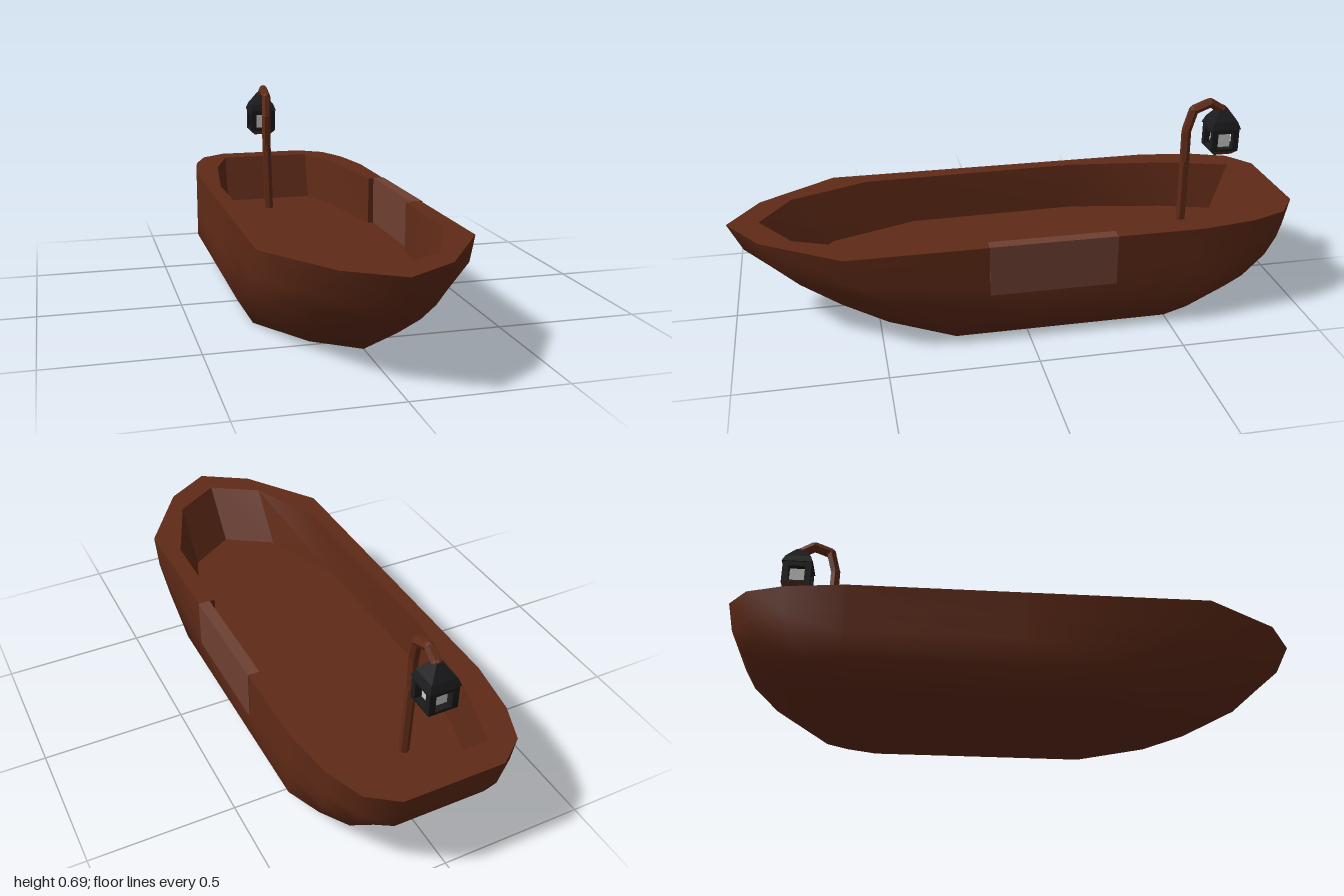
import * as THREE from 'three';
import { toCreasedNormals } from 'three/addons/utils/BufferGeometryUtils.js';

const mat = (color, side = THREE.FrontSide) => new THREE.MeshStandardMaterial({ color, side });
const wood = mat(0x5f2a17), paleWood = mat(0x6e4031), iron = mat(0x1b1a1c), glow = mat(0xcccccc);

function add(parent, name, geometry, material, x = 0, y = 0, z = 0) {
  const mesh = new THREE.Mesh(geometry, material);
  mesh.name = name;
  mesh.position.set(x, y, z);
  parent.add(mesh);
  return mesh;
}

// Closed outline [x, z] from a half outline running bow to stern
function outline(half, right = half) {
  const left = half.slice(1).reverse().map(([x, z]) => [-x, z]);
  return [...right, ...left];
}

// Skin between equal-count rings of { y, pts }
function loft(rings) {
  const n = rings[0].pts.length, pos = [], idx = [];
  for (const { y, pts } of rings) for (const [x, z] of pts) pos.push(x, y, z);
  for (let r = 0; r < rings.length - 1; r++) {
    for (let i = 0; i < n; i++) {
      const a = r * n + i, b = r * n + (i + 1) % n;
      idx.push(a, a + n, b + n, a, b + n, b);
    }
  }
  const g = new THREE.BufferGeometry();
  g.setAttribute('position', new THREE.Float32BufferAttribute(pos, 3));
  g.setIndex(idx);
  g.computeVertexNormals();
  return g;
}

// Horizontal face, optionally with a hole
function flat(pts, hole) {
  const toV = p => p.map(([x, z]) => new THREE.Vector2(x, -z));
  const shape = new THREE.Shape(toV(pts));
  if (hole) shape.holes.push(new THREE.Path(toV(hole)));
  return new THREE.ShapeGeometry(shape).rotateX(-Math.PI / 2);
}

// Square frustum of half-widths r0 (bottom) and r1 (top)
function frustum(r0, r1, y0, y1) {
  const g = new THREE.CylinderGeometry(r1 * Math.SQRT2, r0 * Math.SQRT2, y1 - y0, 4);
  return toCreasedNormals(g.rotateY(Math.PI / 4).translate(0, (y0 + y1) / 2, 0), 0.3);
}

export function createModel() {
  const model = new THREE.Group();
  model.name = 'rowingBoat';
  const rimY = 0.36, floorY = 0.18;

  // Hull: half outlines from the rim down to the flat bottom
  const levels = [
    [rimY, [[0, 1], [0.17, 0.89], [0.35, 0.62], [0.35, 0], [0.35, -0.6], [0.32, -0.8], [0.27, -0.93], [0.175, -1]]],
    [0.26, [[0, 0.95], [0.17, 0.84], [0.35, 0.58], [0.35, 0], [0.35, -0.6], [0.32, -0.79], [0.265, -0.915], [0.17, -0.98]]],
    [0.19, [[0, 0.87], [0.17, 0.76], [0.35, 0.48], [0.35, 0], [0.35, -0.6], [0.315, -0.77], [0.26, -0.88], [0.16, -0.94]]],
    [0.1, [[0, 0.77], [0.17, 0.63], [0.35, 0.3], [0.35, 0], [0.35, -0.6], [0.3, -0.72], [0.24, -0.81], [0.15, -0.85]]],
    [0, [[0, 0.58], [0.15, 0.47], [0.29, 0.25], [0.29, 0], [0.29, -0.5], [0.25, -0.6], [0.2, -0.67], [0.12, -0.7]]],
  ];
  const rings = levels.map(([y, half]) => ({ y, pts: outline(half) }));
  rings.push({ y: 0, pts: rings[0].pts.map(() => [0, -0.05]) });
  add(model, 'hull', loft(rings), wood);

  // Inside walls, with a recess on the left side for the gate
  const recess = [[0.29, 0.14], [0.312, 0.14], [0.312, -0.3], [0.29, -0.3]];
  const inner = half => outline(half, [...half.slice(0, 3), ...recess, ...half.slice(4)]);
  const innerTop = inner([[0, 0.89], [0.17, 0.78], [0.285, 0.5], [0.3, -0.3], [0.25, -0.68], [0.18, -0.9]]);
  const innerFloor = inner([[0, 0.75], [0.17, 0.64], [0.285, 0.33], [0.3, -0.3], [0.235, -0.66], [0.18, -0.84]]);
  const walls = loft([{ y: floorY, pts: innerFloor }, { y: rimY, pts: innerTop }]);
  add(model, 'innerWalls', toCreasedNormals(walls, 0.6), wood);
  add(model, 'rim', flat(rings[0].pts, innerTop), wood, 0, rimY);
  add(model, 'floor', flat(innerFloor), wood, 0, floorY);
  add(model, 'sideGate', new THREE.BoxGeometry(0.042, 0.18, 0.44), paleWood, 0.331, 0.272, -0.08);

  // Bent lamp post: square sections swept along straight pieces
  const path = new THREE.CurvePath();
  const knots = [[-0.036, 0.18, -0.665], [-0.043, 0.45, -0.668], [-0.043, 0.57, -0.667], [-0.038, 0.65, -0.688],
    [-0.038, 0.674, -0.75], [-0.038, 0.645, -0.797]].map(p => new THREE.Vector3(...p));
  for (let i = 1; i < knots.length; i++) path.add(new THREE.LineCurve3(knots[i - 1], knots[i]));
  const post = new THREE.Group();
  post.name = 'lampPost';
  model.add(post);
  path.curves.forEach((c, i) => {
    const tube = new THREE.TubeGeometry(c, 1, 0.018, 6);
    add(post, 'postSection' + i, toCreasedNormals(tube, 0.5), wood);
    if (i) add(post, 'postJoint' + i, new THREE.IcosahedronGeometry(0.017, 1), wood, ...c.v1.toArray());
  });
  add(post, 'postEnd', new THREE.IcosahedronGeometry(0.018, 1), wood, ...knots.at(-1).toArray());

  // Lantern hanging from the post
  const lantern = new THREE.Group();
  lantern.name = 'lantern';
  lantern.position.set(-0.039, 0, -0.8);
  model.add(lantern);
  add(lantern, 'roofLower', frustum(0.055, 0.045, 0.582, 0.608), iron);
  add(lantern, 'roofUpper', frustum(0.045, 0.012, 0.608, 0.655), iron);
  add(lantern, 'topFrame', frustum(0.05, 0.05, 0.565, 0.582), iron);
  add(lantern, 'bottomFrame', frustum(0.051, 0.051, 0.497, 0.507), iron);
  add(lantern, 'base', frustum(0.034, 0.05, 0.48, 0.497), wood);
  add(lantern, 'light', frustum(0.027, 0.027, 0.505, 0.567), glow);
  for (const sx of [-1, 1]) for (const sz of [-1, 1]) {
    add(lantern, 'cornerPost', new THREE.BoxGeometry(0.022, 0.08, 0.022), iron, sx * 0.04, 0.54, sz * 0.04);
  }
  return model;
}
